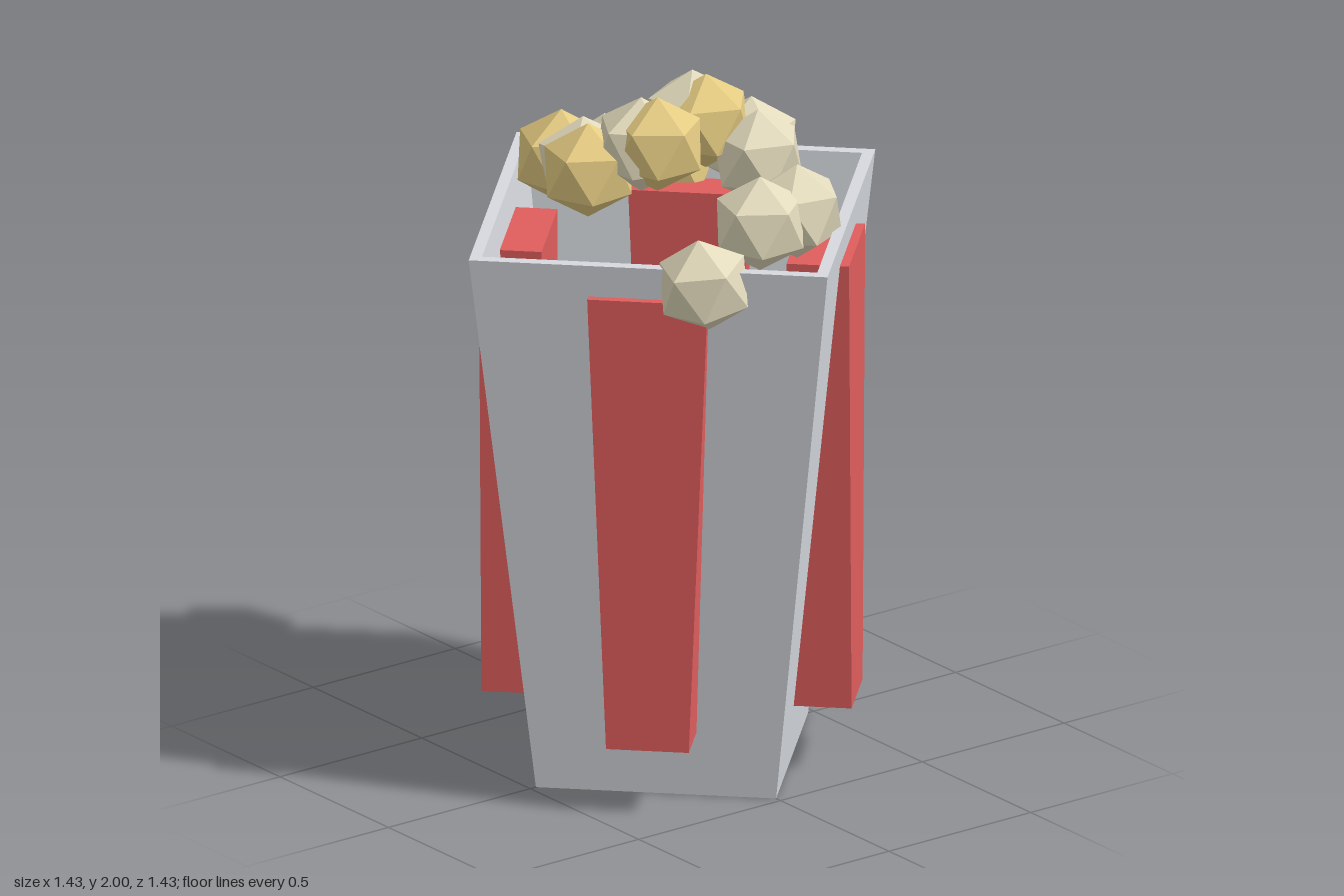
import * as THREE from 'three';

const mat = (name, color) => {
  const m = new THREE.MeshStandardMaterial({ color, flatShading: true });
  m.name = name;
  return m;
};

export function createModel() {
  const grey = mat('carton grey', 0xd6d9de);
  const red = mat('stripe red', 0xe05d5d);
  const cream = mat('cream', 0xe2dabc);
  const gold = mat('butter gold', 0xe4cb82);

  const model = new THREE.Group();
  model.name = 'popcornBucket';

  // Square flared carton with a hollow inside and a closed floor
  const profile = [[0, 0], [0.48, 0], [0.717, 1.635], [0.67, 1.635], [0.45, 0.1], [0, 0.1]]
    .map(([r, y]) => new THREE.Vector2(r, y));
  const carton = new THREE.Mesh(new THREE.LatheGeometry(profile, 4), grey);
  carton.name = 'carton';
  model.add(carton);

  // Tapered upright stripe blocks, one set through each wall
  const outline = new THREE.Shape([[-0.117, 0.195], [0.117, 0.195], [0.17, 1.54], [-0.17, 1.54]]
    .map(([x, y]) => new THREE.Vector2(x, y)));
  const stripeGeo = new THREE.ExtrudeGeometry(outline, { depth: 0.177, bevelEnabled: false });
  stripeGeo.translate(0, 0, 0.346);
  for (let i = 0; i < 4; i++) {
    const stripe = new THREE.Mesh(stripeGeo, red);
    stripe.name = 'stripe' + (i + 1);
    stripe.rotation.y = Math.PI / 4 + i * Math.PI / 2;
    model.add(stripe);
  }

  // Popped kernels: icosahedra standing on a corner; x, y, z, material, yaw, tilt
  const kernelGeo = new THREE.IcosahedronGeometry(0.14, 0);
  kernelGeo.rotateZ(Math.atan(2 / (1 + Math.sqrt(5))));
  const kernels = [
    [0.15, 1.59, -0.49, cream, 0.5, 0.1],
    [0.33, 1.575, -0.415, gold, 0.9, -0.1],
    [-0.10, 1.69, -0.38, gold, 0.2, 0],
    [-0.18, 1.75, -0.175, cream, 0.7, 0],
    [-0.235, 1.77, -0.08, gold, 0.4, 0],
    [-0.12, 1.85, 0.015, cream, 0.1, 0],
    [-0.10, 1.86, 0.065, gold, 0.3, 0],
    [0.11, 1.86, -0.05, cream, 0.8, 0],
    [0.12, 1.86, 0, gold, 0.55, 0],
    [0.25, 1.775, 0.04, cream, 0.15, 0],
    [0.20, 1.775, 0.135, cream, 0.6, 0],
    [0.02, 1.69, 0.38, cream, 0.35, 0],
    [0.17, 1.685, 0.355, cream, 0.75, 0],
    [-0.24, 1.59, 0.46, cream, 0.25, 0.14],
  ];
  const popcorn = new THREE.Group();
  popcorn.name = 'popcorn';
  kernels.forEach(([x, y, z, material, yaw, tilt], i) => {
    const kernel = new THREE.Mesh(kernelGeo, material);
    kernel.name = 'kernel' + (i + 1);
    kernel.position.set(x, y, z);
    kernel.rotation.set(0, yaw, tilt, 'ZYX');
    popcorn.add(kernel);
  });
  model.add(popcorn);

  return model;
}
